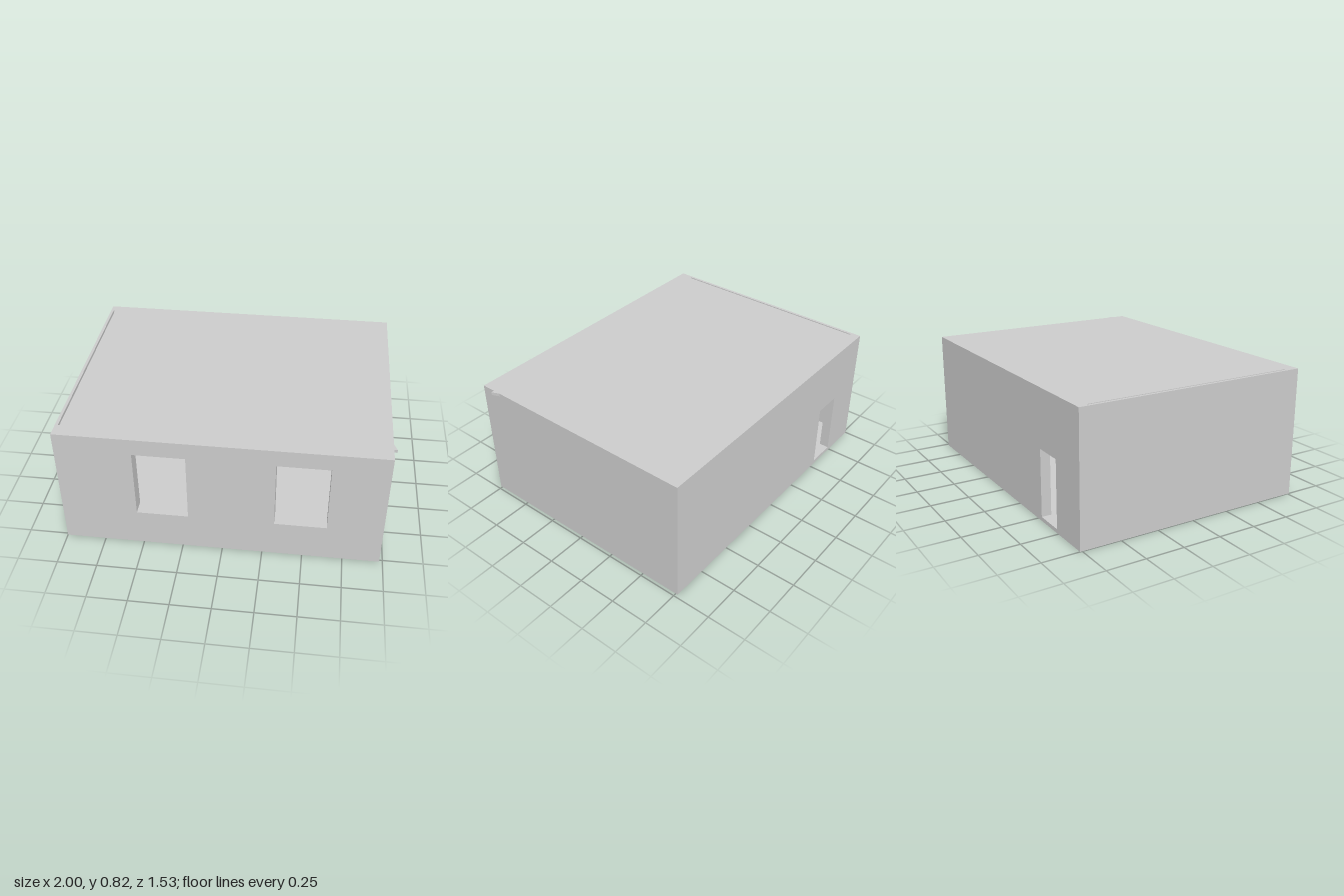
import * as THREE from 'three';

const X0 = -1, X1 = 0.98, Z = 0.763;          // outer footprint
const FLOOR = 0.02, CEILING = 0.8, TOP = 0.82;
const FRONT_IN = 0.67, BACK_IN = -0.7;        // inner wall faces
const LEFT_IN = -0.975, RIGHT_IN = 0.955;

const material = new THREE.MeshStandardMaterial({ color: 0xcccccc, flatShading: true });

function addMesh(group, name, geometry) {
  const mesh = new THREE.Mesh(geometry, material);
  mesh.name = name;
  group.add(mesh);
  return mesh;
}

// Box given by its minimum and maximum corners
function addBlock(group, name, [x0, y0, z0], [x1, y1, z1]) {
  const mesh = addMesh(group, name, new THREE.BoxGeometry(x1 - x0, y1 - y0, z1 - z0));
  mesh.position.set((x0 + x1) / 2, (y0 + y1) / 2, (z0 + z1) / 2);
}

function trace(path, x0, y0, x1, y1) {
  path.moveTo(x0, y0).lineTo(x1, y0);
  path.lineTo(x1, y1).lineTo(x0, y1);
  path.closePath();
  return path;
}

// Rectangular slab with rectangular openings, each [x0, y0, x1, y1]
function slab(outline, openings, depth) {
  const shape = trace(new THREE.Shape(), ...outline);
  shape.holes = openings.map((o) => trace(new THREE.Path(), ...o));
  return new THREE.ExtrudeGeometry(shape, { depth, bevelEnabled: false });
}

export function createModel() {
  const house = new THREE.Group();
  house.name = 'house';

  // Floor
  addBlock(house, 'floor', [X0, 0, -Z], [X1, FLOOR, Z]);

  // Front wall with two windows
  const windows = [-0.53, 0.32].map((x) => [x, 0.25, x + 0.32, 0.71]);
  addMesh(house, 'frontWall', slab([X0, FLOOR, X1, CEILING], windows, Z - FRONT_IN))
    .position.z = FRONT_IN;

  // Back wall with a doorway that reaches almost to the floor slab
  const door = [-0.735, 0.025, -0.545, 0.45];
  addMesh(house, 'backWall', slab([X0, FLOOR, X1, CEILING], [door], BACK_IN + Z))
    .position.z = -Z;

  // Thin side walls
  addBlock(house, 'rightWall', [X0, FLOOR, BACK_IN], [LEFT_IN, CEILING, FRONT_IN]);
  addBlock(house, 'leftWall', [RIGHT_IN, FLOOR, BACK_IN], [X1, CEILING, FRONT_IN]);

  // Low panels on the inner face of the back wall
  for (const x of [-0.3, 0.46]) {
    addBlock(house, 'innerPanel', [x, FLOOR, BACK_IN], [x + 0.19, 0.42, BACK_IN + 0.02]);
  }

  // Flat roof with a narrow slit along one side
  const slit = [-0.982, -FRONT_IN, -0.972, -BACK_IN];
  const roof = slab([X0, -Z, X1, Z], [slit], TOP - CEILING);
  roof.rotateX(-Math.PI / 2);
  addMesh(house, 'roof', roof).position.y = CEILING;

  // Small wedge at the roof edge
  const wedge = new THREE.Shape([
    new THREE.Vector2(X1, -FRONT_IN),
    new THREE.Vector2(1, -FRONT_IN),
    new THREE.Vector2(X1, -0.62),
  ]);
  const spout = new THREE.ExtrudeGeometry(wedge, { depth: TOP - CEILING, bevelEnabled: false });
  spout.rotateX(-Math.PI / 2);
  addMesh(house, 'roofSpout', spout).position.y = CEILING;

  return house;
}
